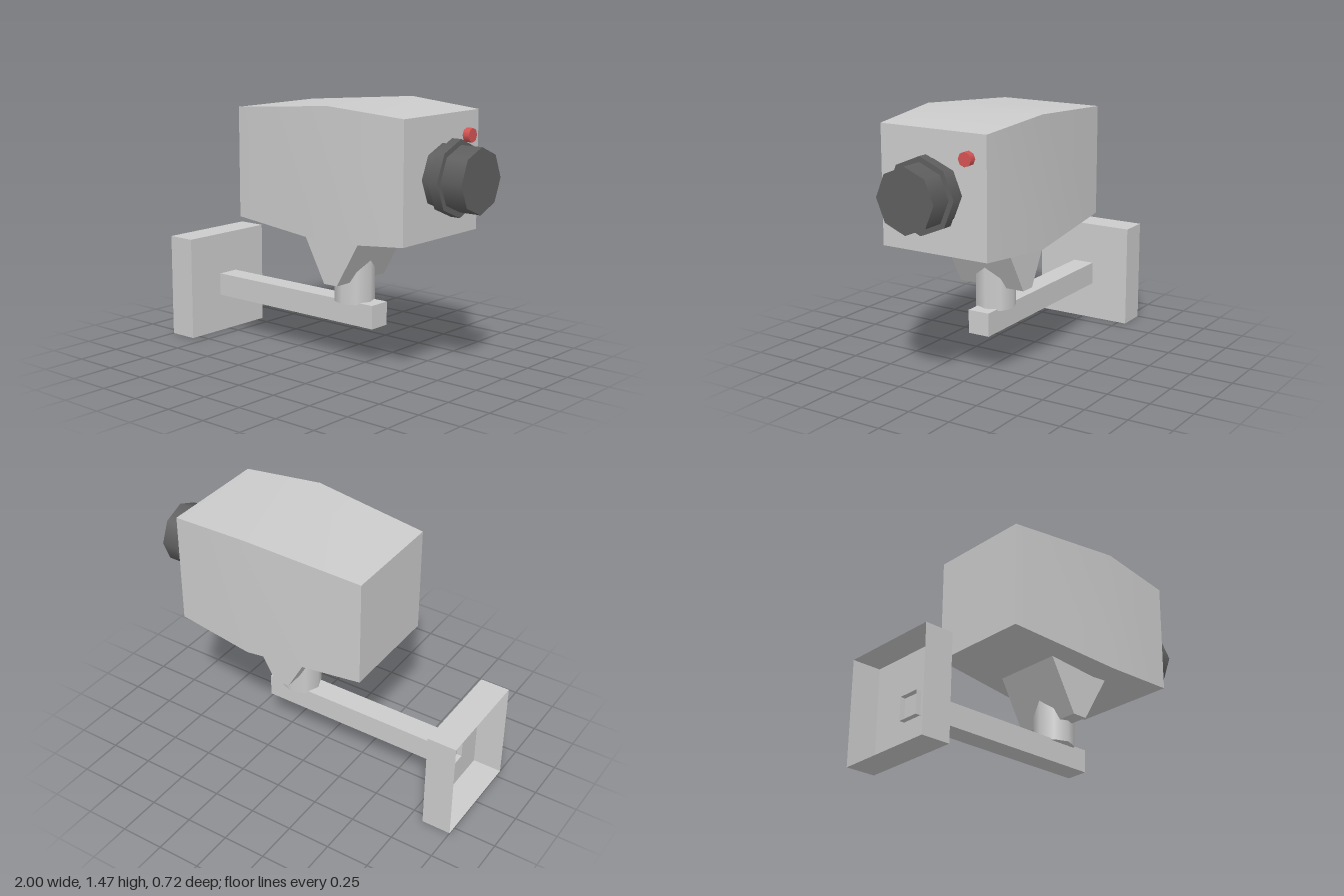
import * as THREE from 'three';
import { toCreasedNormals } from 'three/addons/utils/BufferGeometryUtils.js';

const material = (color, side = THREE.FrontSide) => new THREE.MeshStandardMaterial({ color, side });
const grey = material(0xcccccc);
const greyOpen = material(0xcccccc, THREE.DoubleSide);
const dark = material(0x5f5f5f);
const red = material(0xd55454);

function add(group, name, geometry, mat) {
  const mesh = new THREE.Mesh(geometry, mat);
  mesh.name = name;
  group.add(mesh);
  return mesh;
}

// Thin-walled box from min to max corner, without its -x face
function openBox(x0, x1, y0, y1, z) {
  const g = new THREE.BoxGeometry(x1 - x0, y1 - y0, 2 * z);
  g.setIndex([...g.index.array].filter((_, i) => i < 6 || i > 11));
  g.clearGroups();
  return g.translate((x0 + x1) / 2, (y0 + y1) / 2, 0);
}

// Eight-sided cylinder lying along x
function barrel(x0, x1, radius, y, z) {
  return new THREE.CylinderGeometry(radius, radius, x1 - x0, 8)
    .rotateZ(-Math.PI / 2)
    .translate((x0 + x1) / 2, y, z);
}

// Rectangular sections [x, bottom, top, halfDepth] joined along x, capped at both ends
function loft(sections) {
  const positions = [];
  const index = [];
  for (const [x, y0, y1, z] of sections) positions.push(x, y0, z, x, y0, -z, x, y1, -z, x, y1, z);
  for (let s = 0; s < sections.length - 1; s++) {
    for (let i = 0; i < 4; i++) {
      const a = s * 4 + i, b = s * 4 + (i + 1) % 4;
      index.push(a, b, b + 4, a, b + 4, a + 4);
    }
  }
  const e = (sections.length - 1) * 4;
  index.push(0, 2, 1, 0, 3, 2, e, e + 1, e + 2, e, e + 2, e + 3);
  const g = new THREE.BufferGeometry();
  g.setAttribute('position', new THREE.Float32BufferAttribute(positions, 3));
  g.setIndex(index);
  return toCreasedNormals(g, 0.5);
}

export function createModel() {
  const group = new THREE.Group();
  group.name = 'securityCamera';

  // Wall plate and arm, both hollow at the wall end
  add(group, 'wallPlate', openBox(-1, -0.83, 0, 0.6, 0.3), greyOpen);
  add(group, 'arm', openBox(-0.86, 0.35, 0.222, 0.355, 0.065), greyOpen);

  // Swivel post rising into the wedge bracket
  add(group, 'swivelPost', new THREE.CylinderGeometry(0.114, 0.114, 0.26, 8).translate(0.172, 0.475, 0), grey);

  // Wedge bracket under the housing
  const wedge = new THREE.Shape([
    new THREE.Vector2(0.125, 0.47),
    new THREE.Vector2(0.216, 0.47),
    new THREE.Vector2(0.385, 0.76),
    new THREE.Vector2(-0.045, 0.78),
  ]);
  add(group, 'wedgeBracket',
    new THREE.ExtrudeGeometry(wedge, { depth: 0.41, bevelEnabled: false }).translate(0, 0, -0.205), grey);

  // Housing, widest ahead of its middle
  add(group, 'housing', loft([
    [-0.41, 0.795, 1.412, 0.308],
    [0.285, 0.742, 1.467, 0.362],
    [0.755, 0.779, 1.43, 0.325],
  ]), grey);

  // Lens with focus ring, and indicator light
  add(group, 'lens', barrel(0.74, 1, 0.175, 1.105, -0.002), dark);
  add(group, 'focusRing', barrel(0.815, 0.872, 0.205, 1.105, -0.002), dark);
  add(group, 'indicatorLight', barrel(0.745, 0.794, 0.039, 1.302, -0.219), red);

  return group;
}
